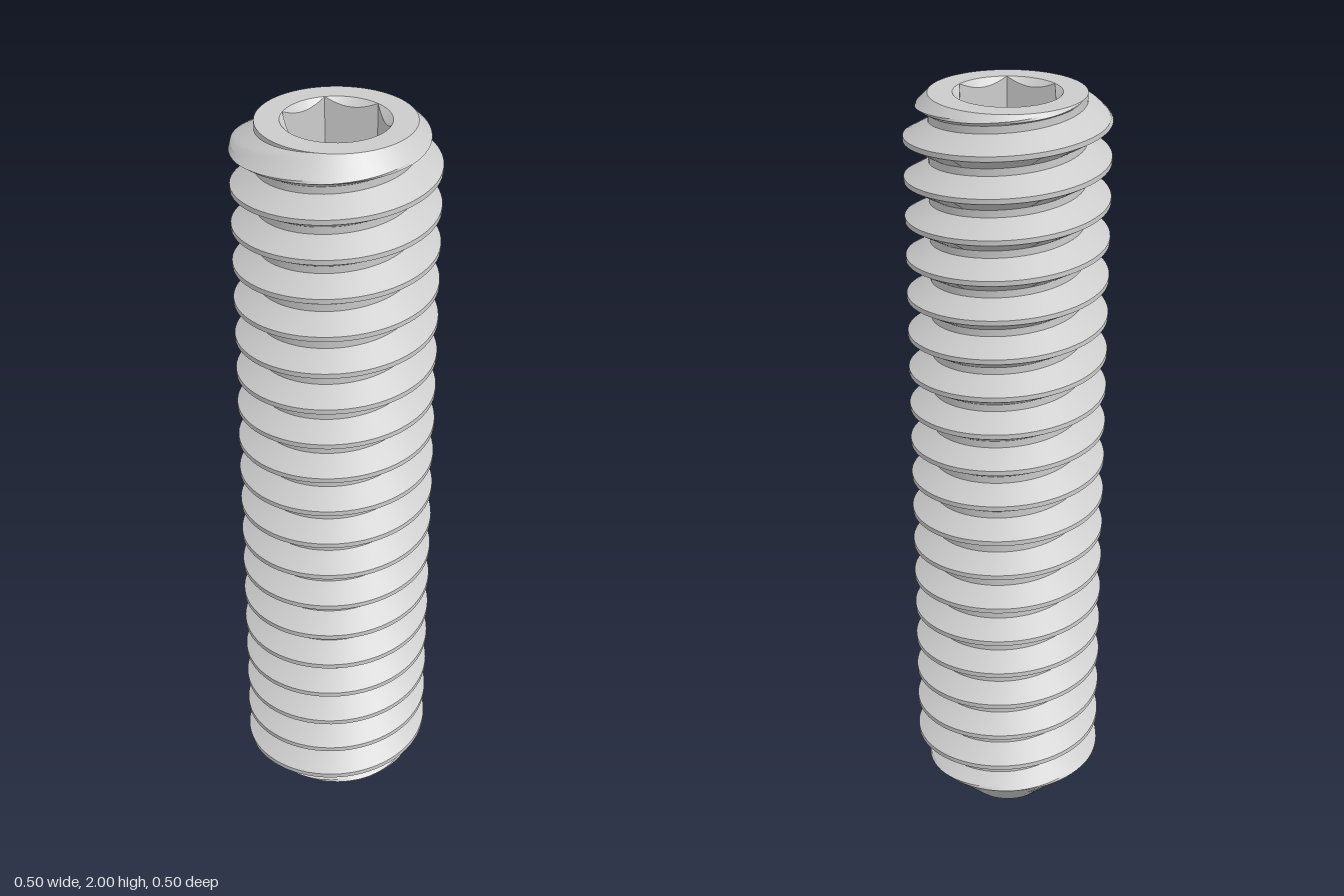
import * as THREE from 'three';
import { toCreasedNormals } from 'three/addons/utils/BufferGeometryUtils.js';

const SEGMENTS = 72, LENGTH = 2, PITCH = 0.1;
const CREST = 0.25, ROOT = 0.19, CREST_HALF = 0.00625;
const FLANK = (CREST - ROOT) / Math.sqrt(3);
const CUP_RADIUS = 0.11, CUP_DEPTH = 0.06;
const HEX_RADIUS = 0.131, SOCKET_DEPTH = 0.25;

// Skin made of one [radius, height] outline per angle, running anticlockwise seen from above
function sweep(name, outline, crease) {
  const columns = [];
  for (let i = 0; i <= SEGMENTS; i++) {
    const a = (i / SEGMENTS) * Math.PI * 2;
    columns.push(outline(a).map(([r, y]) => new THREE.Vector3(r * Math.cos(a), y, -r * Math.sin(a))));
  }
  const positions = [];
  const tri = new THREE.Triangle();
  const add = (a, b, c) => {
    if (tri.set(a, b, c).getArea() > 1e-9) for (const p of [a, b, c]) positions.push(p.x, p.y, p.z);
  };
  for (let i = 0; i < SEGMENTS; i++) {
    const p = columns[i], q = columns[i + 1];
    for (let j = 0; j < p.length - 1; j++) {
      add(p[j], q[j], q[j + 1]);
      add(p[j], q[j + 1], p[j + 1]);
    }
  }
  const geometry = new THREE.BufferGeometry();
  geometry.setAttribute('position', new THREE.Float32BufferAttribute(positions, 3));
  const mesh = new THREE.Mesh(
    toCreasedNormals(geometry, crease),
    new THREE.MeshStandardMaterial({ color: 0xcccccc })
  );
  mesh.name = name;
  return mesh;
}

// Right-handed thread, cut off by the cone at each end
function threadOutline(angle) {
  const points = [];
  const steps = 6;
  const put = (r, height) => {
    const y = THREE.MathUtils.clamp(height, 0, LENGTH);
    points.push([Math.min(r, CUP_RADIUS + y, ROOT + LENGTH - y), y]);
  };
  for (let k = -2; k <= LENGTH / PITCH + 1; k++) {
    const y = PITCH * (k + angle / (Math.PI * 2));
    for (let s = 0; s <= steps; s++) {
      put(ROOT + (CREST - ROOT) * s / steps, y - CREST_HALF - FLANK * (1 - s / steps));
    }
    for (let s = 0; s <= steps; s++) {
      put(CREST - (CREST - ROOT) * s / steps, y + CREST_HALF + FLANK * s / steps);
    }
  }
  return points;
}

// Flat end ring, countersink and six-sided key socket
function socketOutline(angle) {
  const third = Math.PI / 3;
  const local = (angle % third) - third / 2;
  const hex = HEX_RADIUS * Math.cos(third / 2) / Math.cos(local);
  const floor = LENGTH - SOCKET_DEPTH;
  return [
    [ROOT, LENGTH], [HEX_RADIUS, LENGTH],
    [hex, LENGTH - (HEX_RADIUS - hex)],
    [hex, floor], [0, floor],
  ];
}

export function createModel() {
  const screw = new THREE.Group();
  screw.name = 'setScrew';
  screw.add(
    sweep('threadedShank', threadOutline, 0.2),
    sweep('hexSocket', socketOutline, 0.3),
    // Hollow cone in the lower tip
    sweep('cupPoint', () => [[0, CUP_DEPTH], [CUP_RADIUS, 0]], 0.3)
  );
  return screw;
}
